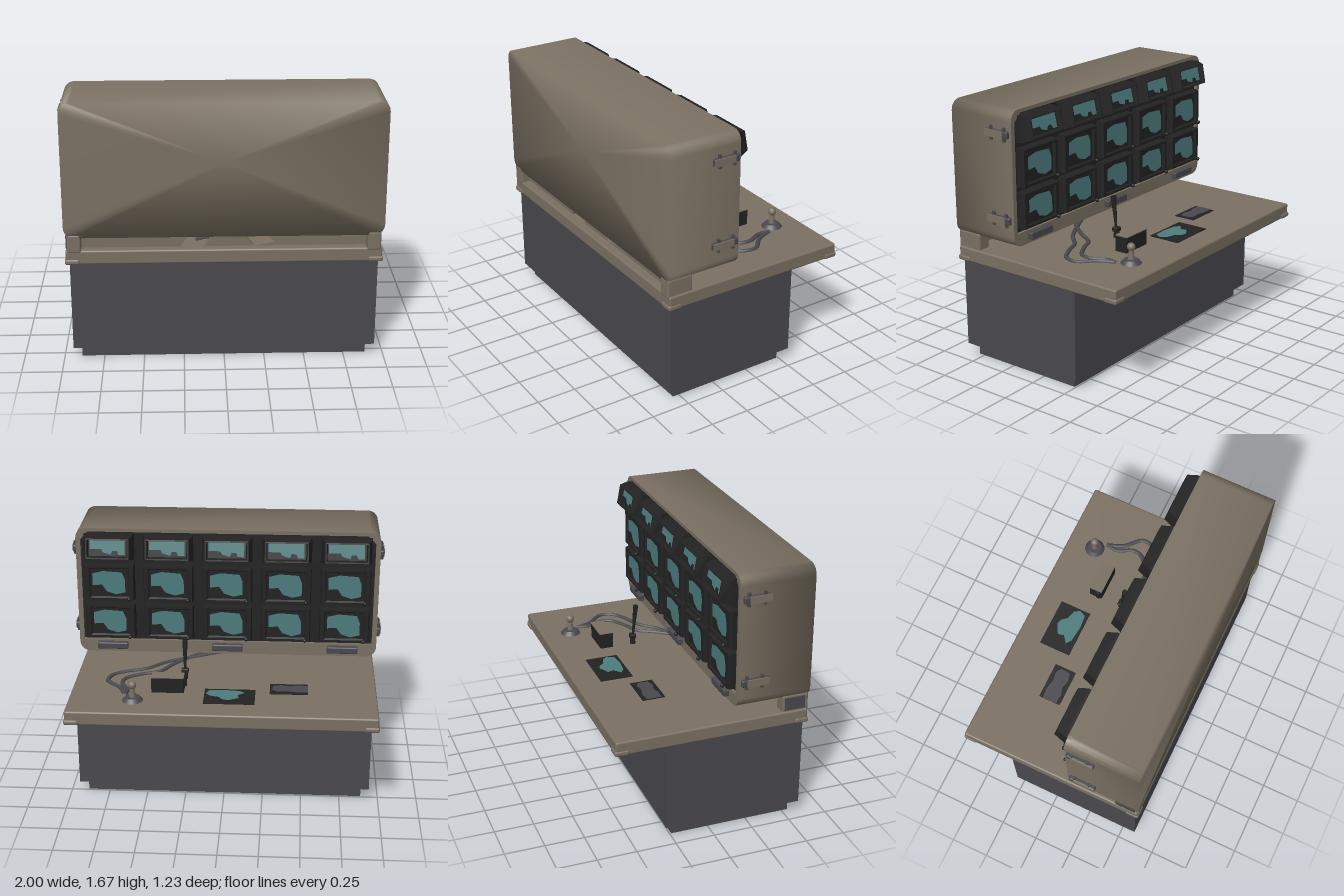
import * as THREE from 'three';
import { RoundedBoxGeometry } from 'three/addons/geometries/RoundedBoxGeometry.js';

const mat = (name, color, side = THREE.FrontSide) => {
  const m = new THREE.MeshStandardMaterial({ color, side });
  m.name = name;
  return m;
};
const vectors = (pts) => pts.map(([x, y]) => new THREE.Vector2(x, y));

export function createModel() {
  const tan = mat('tan paint', 0x7a7062);
  const grey = mat('dark grey', 0x49484e);
  const black = mat('black', 0x222222);
  const teal = mat('teal screen', 0x4c7c7d, THREE.DoubleSide);

  const model = new THREE.Group();
  model.name = 'controlConsole';

  const add = (name, geometry, material, x = 0, y = 0, z = 0, parent = model) => {
    const m = new THREE.Mesh(geometry, material);
    m.name = name;
    m.position.set(x, y, z);
    parent.add(m);
    return m;
  };
  // Box given by its limits
  const block = (name, material, x0, x1, y0, y1, z0, z1) =>
    add(name, new THREE.BoxGeometry(x1 - x0, y1 - y0, z1 - z0), material,
      (x0 + x1) / 2, (y0 + y1) / 2, (z0 + z1) / 2);
  const flat = (pts) => new THREE.ShapeGeometry(new THREE.Shape(vectors(pts)));
  // Flat plate on the table, outline in x and z
  const tablePlate = (name, material, pts, y) => {
    add(name, flat(pts.map(([x, z]) => [x, -z])), material, 0, y, 0).rotation.x = -Math.PI / 2;
  };
  // Extruded sheet with holes
  const sheet = (pts, holes, depth) => {
    const shape = new THREE.Shape(vectors(pts));
    shape.holes = holes.map((h) => new THREE.Path(vectors(h)));
    return new THREE.ExtrudeGeometry(shape, { depth, bevelEnabled: false });
  };

  // Base and table
  block('plinth', grey, -0.89, 0.89, 0, 0.08, -0.24, 0.54);
  block('baseCabinet', grey, -0.94, 0.94, 0.08, 0.655, -0.29, 0.59);
  add('tableTop', new RoundedBoxGeometry(1.925, 0.09, 1.22, 3, 0.012), tan, 0, 0.7, 0);

  // Corner fittings and posts
  for (const s of [-1, 1]) {
    for (const z of [-0.572, 0.572]) {
      add('cornerFitting', new RoundedBoxGeometry(0.09, 0.034, 0.09, 2, 0.012), tan, s * 0.923, 0.671, z);
    }
    add('cornerPost', new RoundedBoxGeometry(0.085, 0.12, 0.17, 2, 0.012), tan, s * 0.91, 0.79, 0.53);
  }
  block('postSocket', grey, -0.96, -0.952, 0.755, 0.835, 0.46, 0.59);

  // Support panel with two openings
  add('supportPanel', sheet([[-0.87, 0.74], [0.87, 0.74], [0.87, 0.84], [-0.87, 0.84]], [
    [[-0.27, 0.745], [-0.12, 0.745], [-0.06, 0.832], [-0.2, 0.832]],
    [[0.18, 0.745], [0.31, 0.77], [0.23, 0.832], [0.11, 0.832]],
  ], 0.03), tan, 0, 0, 0.525);

  // Upper housing: rounded outline swept in z, closed by a fan with shared smooth normals
  const outline = [];
  const W = 0.97, Y0 = 0.83, Y1 = 1.675, R = 0.065, ARC = 5;
  [[W - R, Y1 - R], [R - W, Y1 - R], [R - W, Y0 + R], [W - R, Y0 + R]].forEach(([cx, cy], q) => {
    for (let i = 0; i <= ARC; i++) {
      const a = (q + i / ARC) * Math.PI / 2;
      outline.push([cx + R * Math.cos(a), cy + R * Math.sin(a)]);
    }
  });
  const n = outline.length, pos = [], idx = [];
  for (const z of [0.165, 0.613]) for (const [x, y] of outline) pos.push(x, y, z);
  pos.push(0, 1.3, 0.613);
  for (let i = 0; i < n; i++) {
    const j = (i + 1) % n;
    idx.push(i, j, n + j, i, n + j, n + i, n + i, n + j, 2 * n);
  }
  const shell = new THREE.BufferGeometry();
  shell.setAttribute('position', new THREE.Float32BufferAttribute(pos, 3));
  shell.setIndex(idx);
  shell.computeVertexNormals();
  add('housingShell', shell, tan);

  // Rim around the monitors and the dark panel set inside it
  const opening = [[-0.94, 0.915], [0.94, 0.915], [0.94, 1.6], [0.89, 1.653], [-0.89, 1.653], [-0.94, 1.6]];
  add('housingRim', sheet(outline, [opening], 0.025), tan, 0, 0, 0.14);
  add('monitorPanel', flat(opening), black, 0, 0, 0.158).rotation.y = Math.PI;

  // Monitor case: rings of four corners from the back, over the bezel, into the recess
  // Each ring is [half width, bottom y, top y, bottom z, top z]
  const monitorCase = (rings) => {
    const loops = rings.map(([w, y0, y1, zb, zt]) => [[-w, y0, zb], [w, y0, zb], [w, y1, zt], [-w, y1, zt]]);
    const verts = [];
    for (let k = 0; k + 1 < loops.length; k++) {
      const a = loops[k], b = loops[k + 1];
      for (let i = 0; i < 4; i++) {
        const j = (i + 1) % 4;
        verts.push(...a[i], ...b[j], ...a[j], ...a[i], ...b[i], ...b[j]);
      }
    }
    const cap = loops[loops.length - 1];
    for (const i of [0, 3, 2, 0, 2, 1]) verts.push(...cap[i]);
    const g = new THREE.BufferGeometry();
    g.setAttribute('position', new THREE.Float32BufferAttribute(verts, 3));
    g.computeVertexNormals();
    return g;
  };
  const lowCase = (y0, y1) => monitorCase([
    [0.16, y0, y1, 0.165, 0.165], [0.16, y0, y1, 0.12, 0.12], [0.154, y0 + 0.004, y1 - 0.004, 0.1, 0.1],
    [0.13, y0 + 0.018, y1 - 0.018, 0.1, 0.1], [0.12, y0 + 0.026, y1 - 0.026, 0.112, 0.112],
  ]);
  const topCase = monitorCase([
    [0.16, 1.473, 1.643, 0.165, 0.165], [0.158, 1.475, 1.641, 0.12, 0.12], [0.138, 1.505, 1.632, 0.036, 0.06],
    [0.128, 1.513, 1.626, 0.038, 0.058], [0.122, 1.516, 1.622, 0.065, 0.09],
  ]);
  const lowScreen = flat([[-0.11, 0.06], [-0.04, 0.078], [0.08, 0.07], [0.1, 0.02], [0.1, -0.065],
    [0.04, -0.08], [-0.02, -0.06], [-0.05, -0.015], [-0.11, -0.02]]);
  const topScreen = flat([[-0.115, 0.045], [0.11, 0.045], [0.11, -0.045], [0.07, -0.045], [0.06, -0.02],
    [0.03, -0.02], [0.02, -0.045], [-0.03, -0.03], [-0.04, -0.01], [-0.115, -0.01]]);
  const rows = [
    { body: lowCase(1.2, 1.44), screen: lowScreen, y: 1.322, z: 0.108, tilt: 0, knobY: 1.22 },
    { body: lowCase(0.94, 1.17), screen: lowScreen, y: 1.056, z: 0.108, tilt: 0, knobY: 0.957 },
    { body: topCase, screen: topScreen, y: 1.57, z: 0.074, tilt: 0.232 },
  ];
  for (let c = -2; c <= 2; c++) {
    for (const r of rows) {
      const monitor = new THREE.Group();
      monitor.name = 'monitor';
      monitor.position.x = c * 0.378;
      model.add(monitor);
      add('monitorCase', r.body, black, 0, 0, 0, monitor);
      add('monitorScreen', r.screen, teal, 0, r.y, r.z, monitor).rotation.set(r.tilt, Math.PI, 0);
      if (r.knobY) add('monitorKnob', new THREE.SphereGeometry(0.013, 8, 6), black, -0.125, r.knobY, 0.08, monitor);
    }
  }
  // Switch blocks below the monitors
  for (const x of [-0.75, 0, 0.75]) add('switchBlock', new RoundedBoxGeometry(0.2, 0.045, 0.04, 2, 0.008), grey, x, 0.88, 0.125);

  // Side latches: grey body with a tan cover and two cross pins
  for (const s of [-1, 1]) for (const y of [1.0, 1.53]) {
    add('latchBody', new RoundedBoxGeometry(0.03, 0.046, 0.175, 2, 0.01), grey, s * 0.98, y, 0.245);
    add('latchCover', new THREE.BoxGeometry(0.008, 0.044, 0.14), tan, s * 0.994, y, 0.26);
    for (const z of [0.19, 0.29]) add('latchPin', new THREE.CylinderGeometry(0.011, 0.011, 0.085, 8), grey, s * 0.98, y, z);
  }

  // Table display and control pad
  block('tableDisplay', black, -0.2, 0.12, 0.74, 0.749, -0.45, -0.24);
  tablePlate('tableDisplayScreen', teal, [[-0.136, -0.295], [-0.09, -0.33], [-0.1, -0.37], [-0.035, -0.405], [0, -0.395],
    [0.03, -0.36], [0.085, -0.345], [0.11, -0.31], [0.09, -0.265], [0, -0.257], [-0.1, -0.268]], 0.752);
  block('controlPad', black, -0.53, -0.29, 0.74, 0.749, -0.29, -0.145);
  tablePlate('controlPadKeys', grey, [[-0.53, -0.17], [-0.46, -0.165], [-0.42, -0.18], [-0.36, -0.165], [-0.31, -0.18],
    [-0.305, -0.24], [-0.34, -0.265], [-0.4, -0.255], [-0.46, -0.27], [-0.53, -0.265]], 0.752);

  // Desk unit
  block('deskUnit', black, 0.25, 0.455, 0.745, 0.845, -0.305, -0.22);
  block('deskUnitLid', tan, 0.25, 0.455, 0.845, 0.85, -0.31, -0.22);
  block('deskUnitButton', black, 0.235, 0.25, 0.77, 0.835, -0.255, -0.23);

  // Upright paddle stick
  add('stickFoot', new THREE.CylinderGeometry(0.016, 0.02, 0.06, 8), black, 0.26, 0.77, -0.08);
  add('stickCollar', new RoundedBoxGeometry(0.045, 0.03, 0.04, 1, 0.006), black, 0.26, 0.8, -0.08);
  const stick = add('stickBlade', new THREE.CylinderGeometry(0.018, 0.007, 0.21, 8), black, 0.26, 0.91, -0.067);
  stick.rotation.x = 0.1;

  // Joystick
  add('joystickBase', new THREE.CylinderGeometry(0.045, 0.066, 0.025, 20), grey, 0.56, 0.757, -0.42);
  add('joystickStem', new THREE.CylinderGeometry(0.014, 0.022, 0.08, 12), tan, 0.56, 0.8, -0.42);
  add('joystickBall', new THREE.SphereGeometry(0.026, 14, 10), tan, 0.56, 0.848, -0.42);

  // Cables lying on the table and running under the housing
  for (const pts of [
    [[0.62, -0.36], [0.61, -0.28], [0.655, -0.18], [0.64, -0.11], [0.54, -0.04], [0.43, 0.01], [0.36, 0.12], [0.2, 0.3], [-0.1, 0.46]],
    [[0.62, -0.34], [0.66, -0.25], [0.75, -0.15], [0.73, -0.06], [0.64, 0], [0.52, 0.05], [0.4, 0.16], [0.1, 0.32], [-0.18, 0.46]],
  ]) {
    const curve = new THREE.CatmullRomCurve3(pts.map(([x, z]) => new THREE.Vector3(x, 0.746, z)));
    add('cable', new THREE.TubeGeometry(curve, 60, 0.014, 8), grey);
  }
  return model;
}
